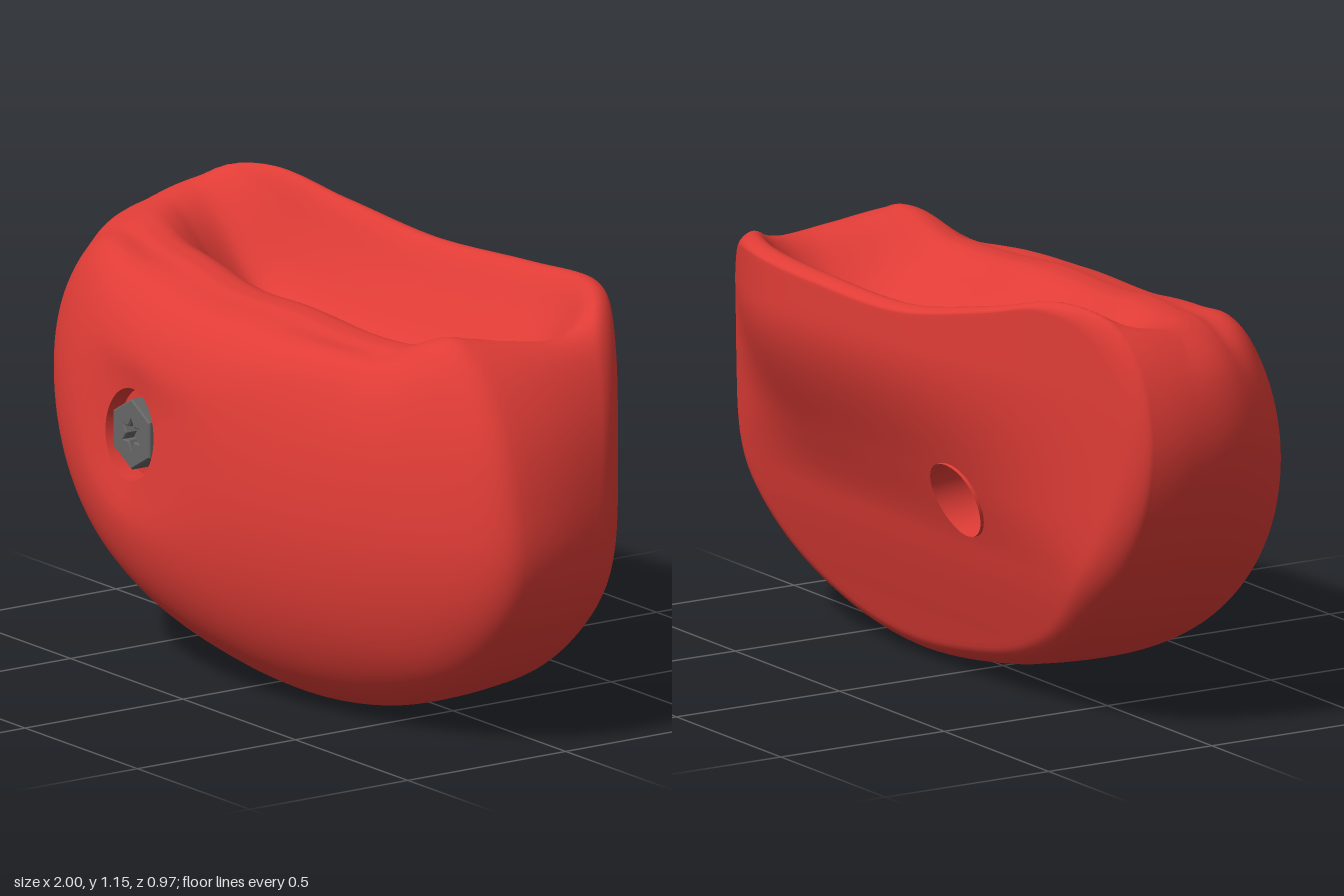
import * as THREE from 'three';

const SEG = 160;
const { lerp, smoothstep } = THREE.MathUtils;

// smooth curve through [key, value] pairs sorted by key
function curve1D(pts) {
  const slope = pts.map((p, i) => {
    const a = pts[Math.max(i - 1, 0)], b = pts[Math.min(i + 1, pts.length - 1)];
    return (b[1] - a[1]) / (b[0] - a[0]);
  });
  return (x) => {
    if (x <= pts[0][0]) return pts[0][1];
    for (let i = 0; i < pts.length - 1; i++) {
      const [x0, y0] = pts[i], [x1, y1] = pts[i + 1];
      if (x > x1) continue;
      const h = x1 - x0, u = (x - x0) / h, v = 1 - u;
      return y0 * (1 + 2 * u) * v * v + y1 * u * u * (3 - 2 * u)
        + h * u * v * (slope[i] * v - slope[i + 1] * u);
    }
    return pts[pts.length - 1][1];
  };
}

// skin a list of closed rings of SEG points
function loft(rings) {
  const pos = rings.flat(2), index = [];
  for (let i = 0; i < rings.length - 1; i++) {
    for (let j = 0; j < SEG; j++) {
      const k = (j + 1) % SEG;
      const a = i * SEG + j, b = i * SEG + k, c = a + SEG, d = b + SEG;
      index.push(a, c, d, a, d, b);
    }
  }
  const g = new THREE.BufferGeometry();
  g.setAttribute('position', new THREE.Float32BufferAttribute(pos, 3));
  g.setIndex(index);
  g.computeVertexNormals();
  return g;
}

// front silhouette, counter-clockwise
const outline = new THREE.CatmullRomCurve3([
  [1, 0.5], [0.98, 0.68], [0.92, 0.85], [0.82, 0.99], [0.7, 1.075], [0.55, 1.105],
  [0.2, 1.09], [-0.2, 1.08], [-0.5, 1.13], [-0.72, 1.175], [-0.86, 1.14], [-0.96, 1.02],
  [-1, 0.83], [-0.96, 0.62], [-0.84, 0.4], [-0.65, 0.22], [-0.4, 0.1], [-0.1, 0.03],
  [0.25, 0], [0.55, 0.05], [0.8, 0.17], [0.95, 0.34],
].map(([x, y]) => new THREE.Vector3(x, y, 0)), true).getSpacedPoints(SEG).slice(0, SEG);

const frontHole = { x: -0.31, y: 0.63, r: 0.12 };
const backHole = { x: -0.27, y: 0.54, r: 0.1 };

// back lip depth along x, and dish depth along the top from back (-1) to front (1)
const lipZ = curve1D([[-1, -0.19], [-0.6, -0.335], [-0.2, -0.44], [0.3, -0.487],
  [0.45, -0.48], [0.6, -0.425], [0.9, -0.25], [1, -0.19]]);
const dish = curve1D([[-1, 0], [-0.89, 0.02], [-0.78, 0.12], [-0.65, 0.22], [-0.52, 0.26],
  [-0.4, 0.24], [-0.2, 0.16], [0, 0.07], [0.2, 0.02], [0.45, 0]]);

// depth of the widest section, the front skin and the back skin
const midZ = (x) => 0.1 - 0.15 * Math.min(x, 0) ** 2;
const frontZ = (x, y) => 0.487 - 0.15 * x * x - 0.01 * x - 0.3 * (y - 0.5) ** 2;
function backZ(x, y) {
  const lip = lipZ(x), flat = -0.095 - 0.195 * smoothstep(y, -0.25, 0.6);
  const base = (lip + flat + Math.hypot(lip - flat, 0.04)) / 2;
  return lerp(base, lip, smoothstep(y, 0.4, 0.95));
}

// t = 1 front skin, 0 widest section, -1 back skin
function place(x, y, t) {
  const z = lerp(midZ(x), t >= 0 ? frontZ(x, y) : backZ(x, y), Math.abs(t));
  const top = smoothstep(y, 0.7, 0.98);
  const amount = 0.05 + 0.04 * smoothstep(x, 0, 0.45) + 0.05 * smoothstep(-x, 0.3, 0.7);
  const slope = amount * smoothstep(t, -0.9, 0.4) * (1 - smoothstep(t, 0.5, 1))
    * (1 - smoothstep(Math.abs(x + 0.15), 0.65, 0.9));
  const scoop = dish(t) * (1 - smoothstep(Math.abs(x + 0.05), 0.48, 0.87));
  return [x, y - top * (slope + scoop), z];
}

function holePoint(h, j) {
  const a = Math.atan2(outline[j].y - h.y, outline[j].x - h.x);
  return [h.x + h.r * Math.cos(a), h.y + h.r * Math.sin(a)];
}
const ring = (fn) => outline.map((o, j) => fn(o, j));

function bodyGeometry() {
  const rings = [];
  // domed front, from the bolt hole out to the silhouette
  const N = 32, e = 2 / 2.8;
  for (let i = 0; i <= N; i++) {
    const a = (i / N) * Math.PI / 2;
    const r = Math.sin(a) ** e, t = i === N ? 0 : Math.cos(a) ** e;
    rings.push(ring((o, j) => {
      const [hx, hy] = holePoint(frontHole, j);
      const p = place(lerp(hx, o.x, r), lerp(hy, o.y, r), t);
      p[2] -= 0.02 * Math.exp(-((r / 0.15) ** 2));
      return p;
    }));
  }
  // the +x end narrows towards the back
  const scaled = (o, s, t) => [
    o.x * s * (1 - 0.045 * t * t * smoothstep(o.x, 0.3, 1)), 0.55 + (o.y - 0.55) * s];
  // the back edge is tight along the lip and softer below
  const edge = (o) => {
    const k = smoothstep(o.y, 0.3, 0.9);
    return { s: lerp(0.88, 0.92, k), t: lerp(-0.65, -0.82, k) };
  };
  // sides and dished top
  for (let i = 1; i <= 24; i++) {
    rings.push(ring((o) => {
      const t = edge(o).t * i / 24;
      return place(...scaled(o, 1 - 0.015 * (i / 24) ** 2, t), t);
    }));
  }
  // rounded back edge
  for (let i = 1; i <= 10; i++) {
    const a = (i / 10) * Math.PI / 2;
    rings.push(ring((o) => {
      const e0 = edge(o), t = lerp(e0.t, -1, Math.sin(a));
      return place(...scaled(o, lerp(e0.s, 0.985, Math.cos(a)), t), t);
    }));
  }
  // back face, in to the hole
  for (let i = 1; i <= 24; i++) {
    rings.push(ring((o, j) => {
      const [x, y] = scaled(o, edge(o).s, 1), [hx, hy] = holePoint(backHole, j);
      return place(lerp(x, hx, i / 24), lerp(y, hy, i / 24), -1);
    }));
  }
  return loft(rings);
}

// straight bore joining both openings, with a slight collar at the back
function boreGeometry() {
  const rings = [];
  for (let i = 0; i <= 6; i++) {
    const k = i / 6;
    rings.push(ring((o, j) => {
      const [fx, fy] = holePoint(frontHole, j), [bx, by] = holePoint(backHole, j);
      return [lerp(bx, fx, k), lerp(by, fy, k), lerp(backZ(bx, by) - 0.01, frontZ(fx, fy) - 0.02, k)];
    }));
  }
  return loft(rings);
}

// hexagonal head with a six-pointed socket
function boltHeadGeometry() {
  const polar = (n, radius) => Array.from({ length: n }, (_, i) => {
    const a = Math.PI / 2 + (i / n) * Math.PI * 2;
    return new THREE.Vector2(Math.cos(a), Math.sin(a)).multiplyScalar(radius(i));
  });
  const shape = new THREE.Shape(polar(6, () => 0.09));
  shape.holes.push(new THREE.Path(polar(12, (i) => (i % 2 ? 0.026 : 0.045))));
  return new THREE.ExtrudeGeometry(shape, {
    depth: 0.05, bevelEnabled: true, bevelSize: 0.004, bevelThickness: 0.004, bevelSegments: 1,
  });
}

export function createModel() {
  const group = new THREE.Group();
  const red = new THREE.MeshStandardMaterial({ color: 0xe03c36 });
  const redThin = new THREE.MeshStandardMaterial({ color: 0xe03c36, side: THREE.DoubleSide });
  const grey = new THREE.MeshStandardMaterial({ color: 0x666666 });
  const add = (name, geometry, material, parent = group) => {
    const mesh = new THREE.Mesh(geometry, material);
    mesh.name = name;
    parent.add(mesh);
    return mesh;
  };

  add('gripBody', bodyGeometry(), red);
  add('boltBore', boreGeometry(), redThin);

  // bolt seated in the front recess
  const bolt = new THREE.Group();
  bolt.name = 'bolt';
  bolt.position.set(frontHole.x, frontHole.y, 0.39);
  add('boltSeat', new THREE.CircleGeometry(0.12, 32), redThin, bolt);
  add('boltHead', boltHeadGeometry(), grey, bolt);
  add('socketFloor', new THREE.CircleGeometry(0.06, 24), grey, bolt).position.z = 0.02;
  group.add(bolt);
  return group;
}
